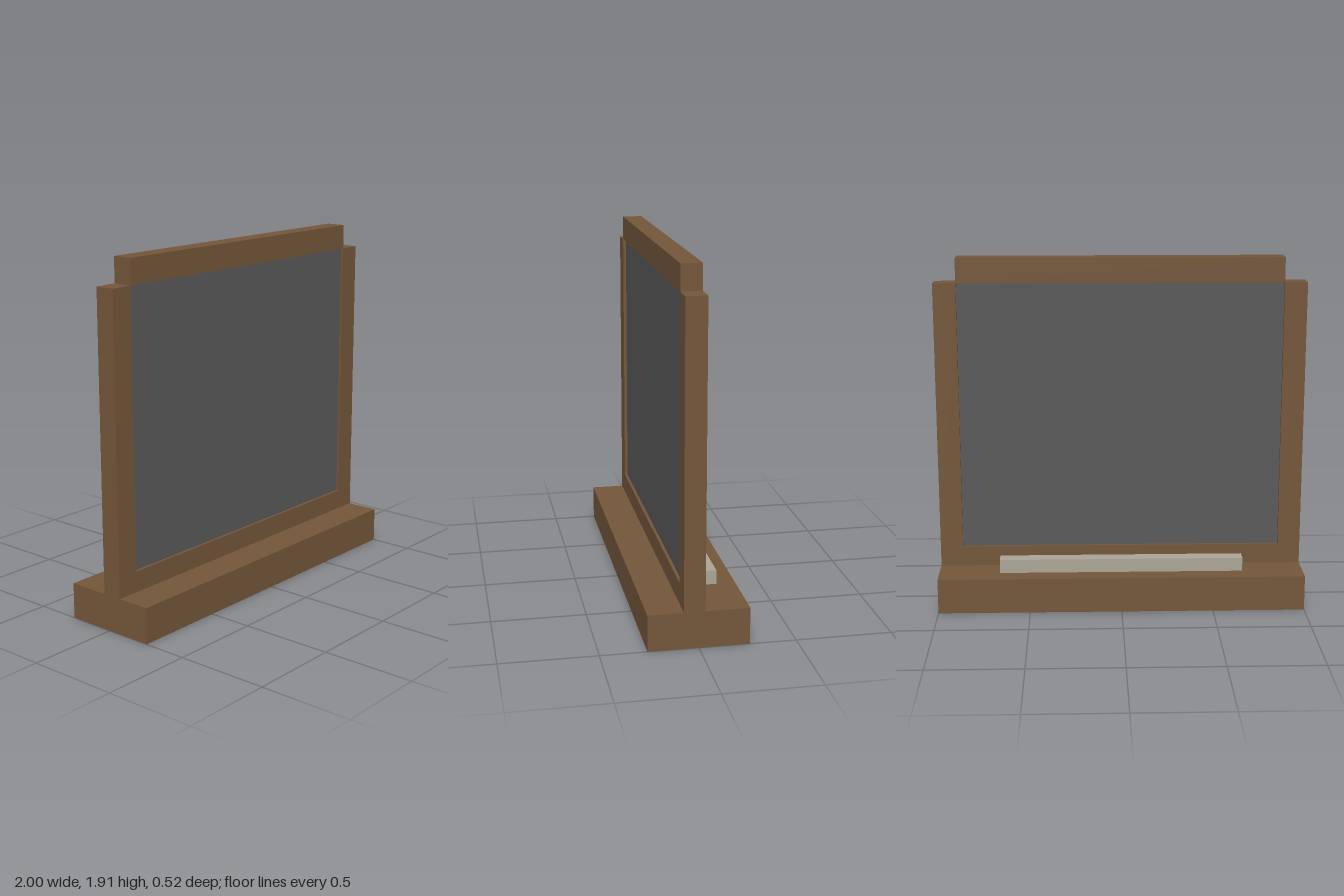
import * as THREE from 'three';

export function createModel() {
  const model = new THREE.Group();
  model.name = 'framedBoard';

  const makeMaterial = (name, color) => {
    const m = new THREE.MeshStandardMaterial({ color });
    m.name = name;
    return m;
  };
  const wood = makeMaterial('brown wood', 0x74563a);
  const slate = makeMaterial('dark slate', 0x595959);
  const chalk = makeMaterial('pale grey', 0xaaa597);

  // Box given by its lower and upper corners
  const box = (name, material, [x0, y0, z0], [x1, y1, z1]) => {
    const mesh = new THREE.Mesh(new THREE.BoxGeometry(x1 - x0, y1 - y0, z1 - z0), material);
    mesh.position.set((x0 + x1) / 2, (y0 + y1) / 2, (z0 + z1) / 2);
    mesh.name = name;
    model.add(mesh);
  };

  const inner = 0.877, baseTop = 0.193, postTop = 1.773;
  const back = -0.032, front = 0.077;

  // Base
  box('base', wood, [-1, 0, -0.26], [1, baseTop, 0.26]);

  // Frame
  box('leftPost', wood, [inner, baseTop, back], [1, postTop, front]);
  box('rightPost', wood, [-1, baseTop, back], [-inner, postTop, front]);
  box('bottomRail', wood, [-inner, baseTop, back], [inner, 0.305, front]);
  box('topRail', wood, [-inner, postTop, back], [inner, 1.907, front]);

  // Board, recessed on both sides
  box('board', slate, [-inner, 0.305, back + 0.016], [inner, postTop, front - 0.016]);

  // Bar lying on the back ledge
  box('ledgeBar', chalk, [-0.667, baseTop, -0.16], [0.667, 0.268, -0.085]);

  return model;
}
